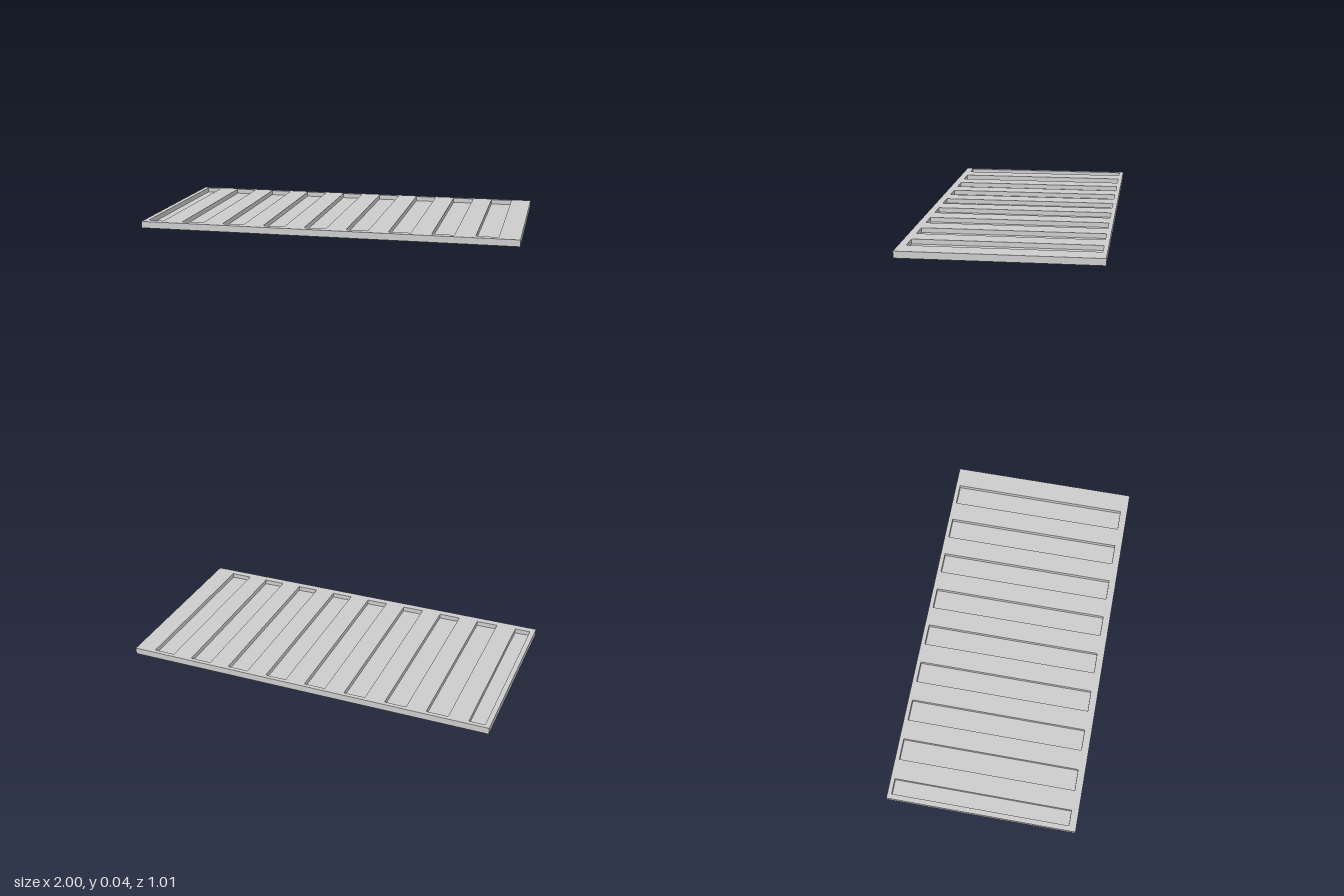
import * as THREE from 'three';

const HALF_X = 1, HALF_Z = 0.507;      // plate half sizes
const FLOOR = 0.01, HEIGHT = 0.035;    // slot floor level and total height
const SLOTS = 9, PITCH = 0.2225, SLOT_WIDTH = 0.115;
const SLOT_BACK = -0.484, SLOT_FRONT = 0.468;

// Rectangle in plan; shape y runs towards -z once laid flat
function trace(path, x0, x1, z0, z1) {
  path.moveTo(x0, -z1);
  path.lineTo(x1, -z1);
  path.lineTo(x1, -z0);
  path.lineTo(x0, -z0);
  path.closePath();
  return path;
}

export function createModel() {
  const group = new THREE.Group();
  group.name = 'slottedPanel';
  const material = new THREE.MeshStandardMaterial({ color: 0xcccccc, flatShading: true });

  // Thin sheet that closes the bottom of the slots
  const base = new THREE.Mesh(new THREE.BoxGeometry(HALF_X * 2, FLOOR, HALF_Z * 2), material);
  base.name = 'basePlate';
  base.position.y = FLOOR / 2;
  group.add(base);

  // Upper layer pierced by evenly spaced slots; the one at the right end is narrower
  const outline = trace(new THREE.Shape(), -HALF_X, HALF_X, -HALF_Z, HALF_Z);
  for (let i = 0; i < SLOTS; i++) {
    const right = (i - (SLOTS - 1) / 2) * PITCH;
    const left = Math.max(right - SLOT_WIDTH, -0.973);
    outline.holes.push(trace(new THREE.Path(), left, right, SLOT_BACK, SLOT_FRONT));
  }
  const layer = new THREE.ExtrudeGeometry(outline, { depth: HEIGHT - FLOOR, bevelEnabled: false });
  layer.rotateX(-Math.PI / 2);
  const top = new THREE.Mesh(layer, material);
  top.name = 'slottedTop';
  top.position.y = FLOOR;
  group.add(top);

  return group;
}
